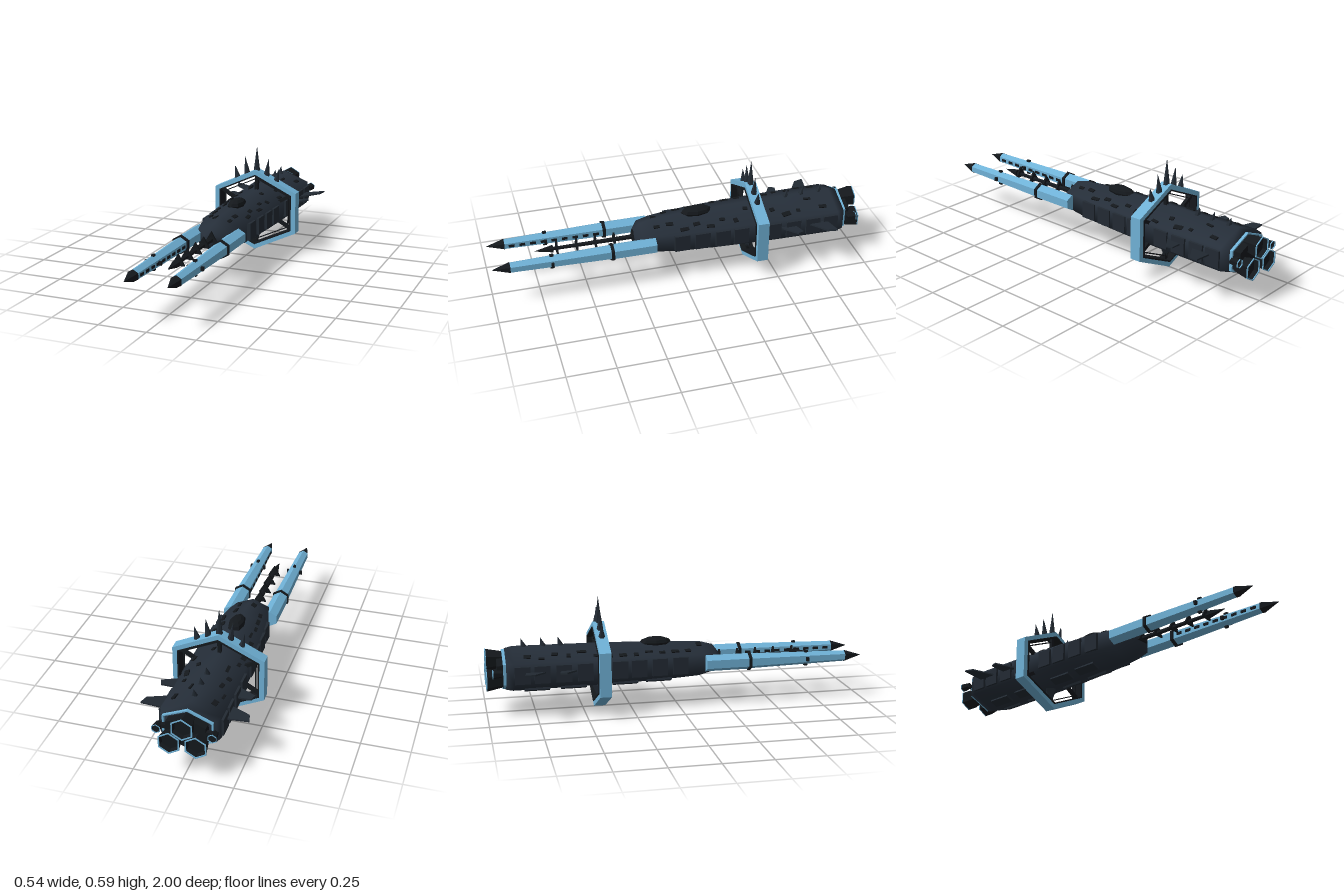
import * as THREE from 'three';

const mat = (color, flat = true) => new THREE.MeshStandardMaterial({ color, flatShading: flat, side: THREE.DoubleSide });
const CY = 0.229; // height of the ship's long axis

export function createModel() {
  const ship = new THREE.Group();
  ship.name = 'spaceship';
  const blue = mat(0x6fb1d6), hullMat = mat(0x262f3a, false), dark = mat(0x222a33), black = mat(0x14181c);

  const add = (name, geo, material, x = 0, y = 0, z = 0, parent = ship) => {
    const m = new THREE.Mesh(geo, material);
    m.name = name;
    m.position.set(x, y, z);
    parent.add(m);
    return m;
  };
  // Hexagon with a corner at the top: half width w, half height h
  const hexPoints = (w, h) => [[0, h], [-w, h / 2], [-w, -h / 2], [0, -h], [w, -h / 2], [w, h / 2]]
    .map(([x, y]) => new THREE.Vector2(x, y));
  const hexRing = (w, h, t, depth) => {
    const s = new THREE.Shape(hexPoints(w, h));
    s.holes.push(new THREE.Path(hexPoints(w - t, h - t).reverse()));
    return new THREE.ExtrudeGeometry(s, { depth, bevelEnabled: false }).translate(0, 0, -depth / 2);
  };
  // Six-sided cylinder along z, front radius first
  const tubeZ = (rFront, rBack, len, sides = 6, open = false) =>
    new THREE.CylinderGeometry(rFront, rBack, len, sides, 1, open).rotateX(Math.PI / 2);
  const spike = (name, r, len, from, dir, material = dark, sides = 6) => {
    const m = add(name, new THREE.ConeGeometry(r, len, sides).translate(0, len / 2, 0), material, ...from);
    m.quaternion.setFromUnitVectors(new THREE.Vector3(0, 1, 0), new THREE.Vector3(...dir).normalize());
    return m;
  };
  const beam = (name, a, b, w, d, material = black) => {
    const A = new THREE.Vector3(...a), B = new THREE.Vector3(...b);
    const m = add(name, new THREE.BoxGeometry(w, A.distanceTo(B), d), material);
    m.position.lerpVectors(A, B, 0.5);
    m.quaternion.setFromUnitVectors(new THREE.Vector3(0, 1, 0), B.sub(A).normalize());
  };

  // Hull: hexagonal cross-sections [z, half width, half height]
  const sections = [[0.235, 0.045, 0.03], [0.2, 0.09, 0.075], [0.13, 0.105, 0.094], [0, 0.125, 0.102],
    [-0.2, 0.136, 0.11], [-0.45, 0.145, 0.116], [-0.86, 0.149, 0.12], [-0.9, 0.138, 0.111]];
  const pos = [], idx = [];
  sections.forEach(([z, w, h]) => hexPoints(w, h).forEach(p => pos.push(p.x, CY + p.y, z)));
  for (let i = 0; i < sections.length - 1; i++) for (let j = 0; j < 6; j++) {
    const a = i * 6 + j, b = i * 6 + (j + 1) % 6;
    idx.push(a, a + 6, b, b, a + 6, b + 6);
  }
  const last = (sections.length - 1) * 6;
  for (let j = 1; j < 5; j++) {
    idx.push(0, j, j + 1);
    idx.push(last, last + j + 1, last + j);
  }
  const hull = new THREE.BufferGeometry();
  hull.setAttribute('position', new THREE.Float32BufferAttribute(pos, 3));
  hull.setIndex(idx);
  hull.computeVertexNormals();
  add('hull', hull, hullMat);
  const sizeAt = z => {
    const i = Math.max(1, sections.findIndex(s => s[0] <= z));
    const [a, b] = [sections[i - 1], sections[i]], t = (a[0] - z) / (a[0] - b[0]);
    return [a[1] + (b[1] - a[1]) * t, a[2] + (b[2] - a[2]) * t];
  };

  // Canopy and dorsal spines
  add('canopy', new THREE.SphereGeometry(1, 8, 6).scale(0.042, 0.03, 0.085), black, 0, 0.332, -0.11);
  for (const z of [-0.61, -0.7, -0.8]) spike('dorsalSpine', 0.016, 0.05, [0, 0.34, z], [0, 1, -0.3]);
  spike('ventralSpike', 0.038, 0.085, [0, 0.118, -0.41], [0, -1, 0], dark, 4);

  // Armour plates and small hull details on both sides
  let seed = 7;
  const rand = () => (seed = (seed * 16807) % 2147483647) / 2147483647;
  for (const s of [-1, 1]) {
    for (const z of [0, -0.11, -0.22, -0.32, -0.5, -0.61, -0.72, -0.82])
      add('sidePlate', new THREE.BoxGeometry(0.024, 0.09, 0.08), dark, s * sizeAt(z)[0], CY, z);
    for (const z of [-0.1, -0.28, -0.55, -0.74]) {
      const [w, h] = sizeAt(z), slope = Math.atan2(h / 2, w);
      add('bellyPlate', new THREE.BoxGeometry(0.05, 0.022, 0.13), dark,
        s * 0.05, CY - h + 0.05 * Math.tan(slope), z).rotation.z = s * slope;
    }
    for (let i = 0; i < 14; i++) {
      const z = 0.12 - i * 0.07, [w, h] = sizeAt(z), f = 0.25 + 0.6 * rand();
      add('hullDetail', new THREE.BoxGeometry(0.012 + 0.015 * rand(), 0.012, 0.02 + 0.03 * rand()), black,
        s * w * f, CY + h * (1 - f / 2), z).rotation.set(0, 0.5 * (rand() - 0.5), -s * Math.atan2(h / 2, w));
    }
    // Swept side fins: outline in x and z
    const fins = [[[0.13, -0.55], [0.13, -0.62], [0.232, -0.638], [0.243, -0.605], [0.155, -0.545]],
      [[0.13, -0.7], [0.13, -0.8], [0.272, -0.815], [0.26, -0.765], [0.155, -0.7]]];
    for (const f of fins) {
      const shape = new THREE.Shape(f.map(([x, z]) => new THREE.Vector2(s * (x - 0.13), z)));
      const g = new THREE.ExtrudeGeometry(shape, { depth: 0.008, bevelEnabled: false }).rotateX(Math.PI / 2).scale(1, 1, 1);
      add('sideFin', g, dark, s * 0.13, 0.24, 0).rotation.z = s * 0.15;
    }
  }

  // Hexagonal ring with inner frames, struts and crown spikes
  const RZ = -0.41;
  add('ring', hexRing(0.24, CY, 0.027, 0.06), blue, 0, CY, RZ);
  add('ringLining', hexRing(0.214, 0.202, 0.008, 0.07), black, 0, CY, RZ);
  add('innerFrame', hexRing(0.191, 0.178, 0.005, 0.012), black, 0, CY, RZ);
  const outer = hexPoints(0.212, 0.2), inner = hexPoints(0.13, 0.105);
  outer.forEach((p, i) => beam('ringStrut', [p.x, CY + p.y, RZ], [inner[i].x, CY + inner[i].y, RZ], 0.018, 0.018));
  for (const [x, y, len, tilt] of [[0, 0.45, 0.14, 0], [0.057, 0.424, 0.103, 0.14], [0.115, 0.398, 0.072, 0.22]])
    for (const s of x ? [-1, 1] : [1]) spike('crownSpike', 0.018, len, [s * x, y, RZ], [s * tilt, 1, 0]);

  // Twin forward cannons
  for (const s of [-1, 1]) {
    const gun = new THREE.Group();
    gun.name = 'cannon';
    gun.position.set(s * 0.11, CY, 0);
    ship.add(gun);
    add('breech', tubeZ(0.043, 0.044, 0.24), blue, 0, 0, 0.26, gun);
    add('barrel', tubeZ(0.029, 0.041, 0.53), blue, 0, 0, 0.64, gun);
    add('cannonTip', tubeZ(0, 0.031, 0.095), black, 0, 0, 0.9525, gun);
    add('cannonBand', tubeZ(0.05, 0.05, 0.016), black, 0, 0, 0.375, gun);
    add('cannonBand', new THREE.BoxGeometry(0.088, 0.02, 0.014), black, 0, 0, 0.69, gun);
    for (let i = 0; i < 9; i++)
      add('cannonVent', new THREE.BoxGeometry(0.008, 0.014, 0.03), black,
        -s * (0.035 - i * 0.0012), 0, 0.42 + i * 0.056, gun);
    for (const y of [-1, 1]) add('cannonStud', new THREE.BoxGeometry(0.014, 0.01, 0.02), black, 0, y * 0.036, 0.69, gun);
  }

  // Central lance with triangular barbs
  add('lance', tubeZ(0.01, 0.014, 0.46), black, 0, CY, 0.44);
  for (const z of [0.24, 0.34, 0.44, 0.54, 0.645])
    add('lanceBarb', new THREE.CylinderGeometry(0.04, 0.04, 0.01, 3).rotateX(-Math.PI / 2), black, 0, CY + 0.004, z);
  add('lanceTip', tubeZ(0, 0.022, 0.1), black, 0, CY, 0.715);

  // Stern collar and engines
  add('sternCollar', hexRing(0.126, 0.107, 0.008, 0.02), blue, 0, CY, -0.905);
  const stern = new THREE.ExtrudeGeometry(new THREE.Shape(hexPoints(0.1, 0.085)), { depth: 0.05, bevelEnabled: false });
  add('sternBlock', stern, black, 0, CY, -0.945);
  const nozzle = (name, x, y, z, r, len) => {
    add(name, tubeZ(r * 0.7, r, len, 6, true), black, x, y, z - len / 2);
    add(name + 'Core', new THREE.CircleGeometry(r * 0.8, 6, Math.PI / 2), black, x, y, z - len * 0.7);
    add(name + 'Lip', hexRing(r * 0.866, r, r * 0.1, 0.005), blue, x, y, z - len + 0.0025);
  };
  for (const [x, y] of [[0, 0.282], [-0.066, 0.192], [0.066, 0.192]]) nozzle('mainEngine', x, y, -0.91, 0.06, 0.09);
  for (const s of [-1, 1]) {
    nozzle('sideThruster', s * 0.138, CY + 0.01, -0.92, 0.024, 0.05);
    beam('thrusterMount', [s * 0.08, CY + 0.01, -0.93], [s * 0.138, CY + 0.01, -0.93], 0.02, 0.02);
  }
  return ship;
}
